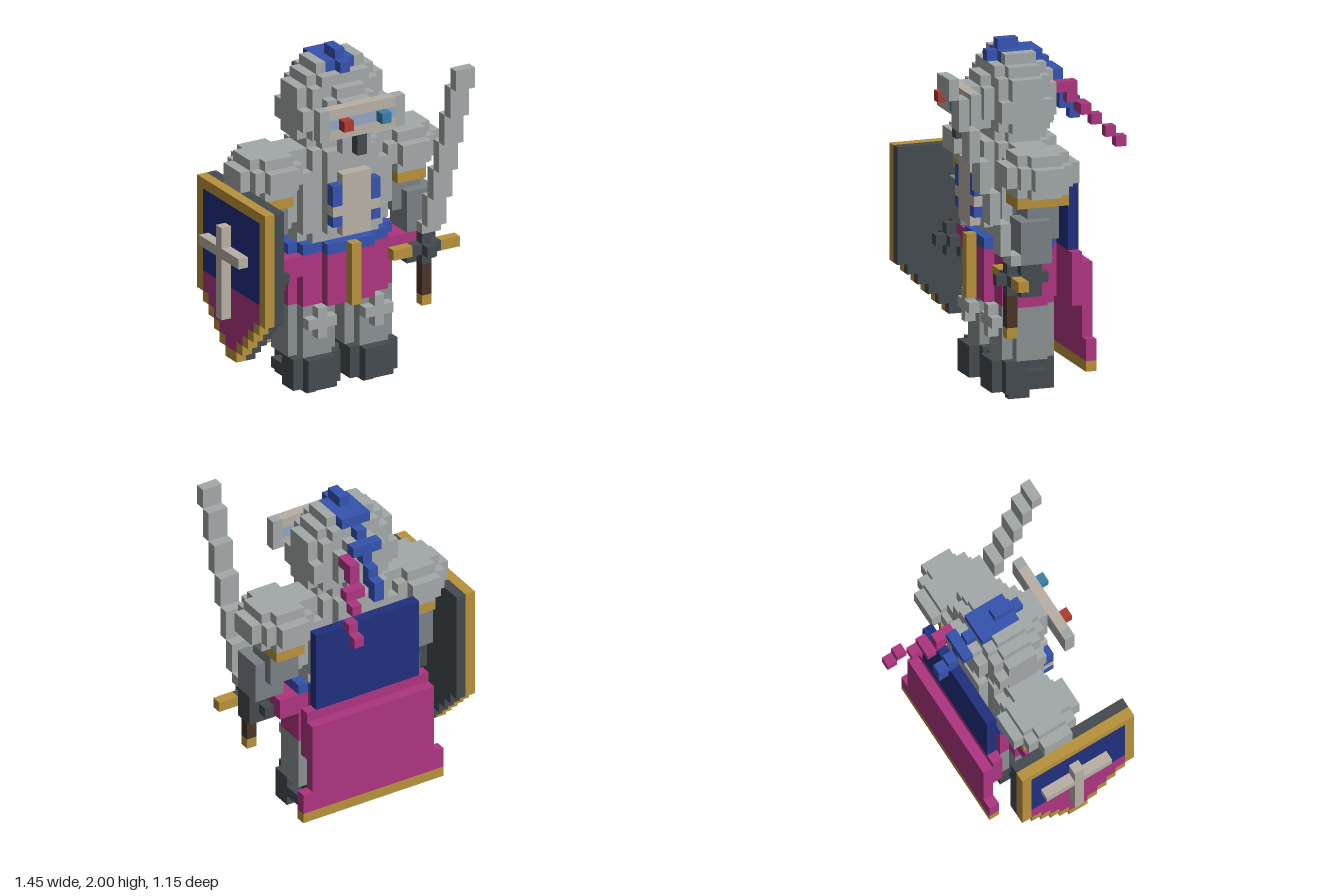
import * as THREE from 'three';
import { mergeGeometries } from 'three/addons/utils/BufferGeometryUtils.js';

const V = 2 / 33; // block size
const C = {
  steel: 0xa3a8a8, plate: 0x8a9092, arm: 0x7a8185, dark: 0x454b50, gold: 0xb8923a, magenta: 0xae3580,
  blue: 0x3553b0, navy: 0x20307e, bone: 0xb8b0a6, red: 0xb03a30, teal: 0x3a80a8, brown: 0x4a3328, glass: 0x8fa8c4,
};
const materials = {};
const mat = (c) => (materials[c] ??= new THREE.MeshStandardMaterial({ color: C[c], flatShading: true }));

// Box extents are in blocks: [x0, x1, y0, y1, z0, z1]
function boxGeo([x0, x1, y0, y1, z0, z1]) {
  const g = new THREE.BoxGeometry((x1 - x0) * V, (y1 - y0) * V, (z1 - z0) * V);
  return g.translate((x0 + x1) / 2 * V, (y0 + y1) / 2 * V, (z0 + z1) / 2 * V);
}

// Rounded block shape inside the given extents, as one box per row; q = Infinity gives a column
function rounded([x0, x1, y0, y1, z0, z1], q) {
  const rows = [], cx = (x0 + x1) / 2, rx = (x1 - x0) / 2;
  for (let y = y0; y < y1; y++) for (let z = z0; z < z1; z++) {
    const v = Math.abs((2 * y + 1 - y0 - y1) / (y1 - y0));
    const w = (2 * z + 1 - z0 - z1) / (z1 - z0);
    for (let x = cx - rx + 0.5; x <= cx; x++) {
      if (((x - cx) / rx) ** 2 + v ** q + w * w > 1.01) continue;
      rows.push([x - 0.5, 2 * cx - x + 0.5, y, y + 1, z, z + 1]);
      break;
    }
  }
  return rows;
}

// Mirror extents across the body centre plane x = 0.5
const mirror = (boxes) => boxes.map(([a, b, ...r]) => [1 - b, 1 - a, ...r]);

export function createModel() {
  const model = new THREE.Group();
  model.name = 'knight';
  const add = (name, color, ...boxes) => {
    const mesh = new THREE.Mesh(mergeGeometries(boxes.map(boxGeo)), mat(color));
    mesh.name = name;
    model.add(mesh);
  };
  const pair = (name, color, ...boxes) => {
    add('right' + name, color, ...boxes);
    add('left' + name, color, ...mirror(boxes));
  };

  // Legs and boots
  pair('Boot', 'dark', [-4, -1, 1, 4, 2.5, 3.5], [-5, 0, 1, 4, 0.5, 2.5], [-4, -1, 1, 4, -2.5, 0.5],
    [-5, 0, 2, 3, -1.5, 0.5], [-3, -2, 0, 1, -0.5, 1.5]);
  pair('Leg', 'plate', ...rounded([-5, 0, 4, 9, -2.5, 2.5], Infinity));
  pair('KneePlate', 'steel', [-4, -1, 7, 8, 2.5, 3.5], [-3, -2, 6, 9, 2.5, 3.5]);

  // Skirt with hip flares, belt, torso and collar
  add('skirt', 'magenta', ...rounded([-5, 6, 9, 14, -3.5, 3.5], Infinity), [-7, 8, 12, 14, -1.5, 2.5],
    [-6, 7, 9, 14, -4.5, -3.5]);
  add('belt', 'blue', ...rounded([-5, 6, 14, 15, -3.5, 3.5], Infinity));
  add('skirtStrip', 'gold', [0, 1, 9, 15, 3.5, 4.5]);
  add('torso', 'steel', ...rounded([-5, 6, 14, 24, -3.5, 3.5], 3).filter((r) => r[2] > 14));
  add('collar', 'steel', ...rounded([-4, 5, 22, 24, -3.5, 3.5], Infinity));
  add('chestPlate', 'bone', [-1, 2, 16, 22, 3.5, 4.5], [-2, -1, 18, 19, 3.5, 4.5], [2, 3, 18, 19, 3.5, 4.5]);
  pair('ChestTrim', 'blue', [-2, -1, 19, 21, 3.5, 4.5], [-2, -1, 17, 18, 3.5, 4.5]);

  // Arms
  pair('Pauldron', 'steel', ...rounded([-10, -3, 20, 24, -3.5, 3.5], 3));
  pair('PauldronTrim', 'gold', [-8, -5, 19, 20, -2.5, 2.5]);
  pair('Arm', 'arm', [-8, -5, 16, 19, -1.5, 1.5], [-9, -6, 14, 18, -0.5, 2.5]);
  pair('Hand', 'dark', [-9, -6, 11, 13, 0.5, 2.5], [-9, -7, 13, 14, 0.5, 2.5],
    [-9, -6, 12, 13, 2.5, 3.5], [-8, -7, 11, 14, 2.5, 3.5], [-8, -7, 12, 13, -0.5, 4.5]);

  // Helmet: crown cells taken by the plume are left out
  const shell = rounded([-4, 5, 23, 32, -3.5, 3.5], 3).filter(([, , y, , z]) => y < 30 || (y === 30 && z > -3));
  add('helmet', 'steel', ...shell, [-1, 2, 24, 29, 3.5, 4.5], [-2, -1, 31, 32, -1.5, 1.5], [2, 3, 31, 32, -1.5, 1.5]);
  pair('EarPlate', 'steel', [-4, -3, 25, 29, -1.5, 1.5], [-4, -3, 26, 28, -2.5, 2.5]);
  add('visor', 'bone', [-3, 4, 26, 27, 4.5, 5.5], [-3, 4, 28, 29, 4.5, 5.5]);
  pair('VisorEnd', 'steel', [-4, -3, 26, 29, 4.5, 5.5]);
  add('visorSlit', 'glass', [-3, 4, 27, 28, 4.5, 5.5]);
  add('rightEye', 'red', [-2, -1, 27, 28, 5.5, 6.5]);
  add('leftEye', 'teal', [2, 3, 27, 28, 5.5, 6.5]);
  add('mouthGrille', 'dark', [0, 1, 24, 26, 4.5, 5.5]);

  // Plumes
  add('bluePlume', 'blue', [0, 1, 32, 33, -0.5, 1.5], [-1, 2, 31, 32, -2.5, 1.5], [0, 1, 31, 32, 1.5, 2.5],
    [0, 1, 30, 31, -3.5, -2.5], [-1, 2, 29, 30, -4.5, -3.5], [0, 1, 28, 29, -4.5, -3.5],
    [0, 1, 26, 28, -5.5, -4.5], [0, 1, 25, 27, -6.5, -5.5]);
  const tail = [[2, 28, 1], [2, 27, 2], [2, 26, 1], [3, 25, 1], [4, 24, 1], [4, 23, 1]];
  add('magentaPlume', 'magenta', ...tail.map(([x, y, h], i) => [x, x + 1, y, y + h, -4.5 - i, -3.5 - i]),
    [3, 4, 26, 27, -6.5, -5.5]);

  // Cape
  add('upperCape', 'navy', [-5, 6, 14, 22, -4.5, -3.5]);
  add('lowerCape', 'magenta', [-6, 7, 6, 13, -5.5, -4.5], [-7, 8, 4, 6, -5.5, -4.5]);
  add('capeHem', 'gold', [-7, 8, 3, 4, -5.5, -4.5]);

  // Sword in the left hand, blade stepping forward as it rises
  const steps = [14, 15, 18, 21, 24, 27, 30, 32];
  add('swordBlade', 'steel', ...steps.slice(1).map((top, i) => [8, 10, steps[i], top, 2.5 + i, 3.5 + i]));
  add('swordGuard', 'gold', [5, 7, 12, 13, 2.5, 3.5], [10, 12, 12, 13, 2.5, 3.5]);
  add('swordGrip', 'brown', [8, 9, 8, 11, 2.5, 3.5]);
  add('swordPommel', 'gold', [8, 9, 7, 8, 2.5, 3.5]);

  // Shield on the right arm, in columns with a stepped point
  const back = [], rim = [], upper = [], lower = [];
  for (let i = 0; i < 12; i++) {
    const z = -4.5 + i, b = 10 - Math.min(i, 11 - i);
    back.push([-10, -9, b, 21, z, z + 1]);
    if (i === 0 || i === 11) { rim.push([-11, -10, b, 21, z, z + 1]); continue; }
    rim.push([-11, -10, b, b + 1, z, z + 1], [-11, -10, 20, 21, z, z + 1]);
    lower.push([-11, -10, b + 1, 12, z, z + 1]);
    upper.push([-11, -10, 12, 20, z, z + 1]);
  }
  add('shieldBack', 'dark', ...back);
  add('shieldRim', 'gold', ...rim);
  add('shieldUpperField', 'navy', ...upper);
  add('shieldLowerField', 'magenta', ...lower);
  add('shieldCross', 'bone', [-12, -11, 9, 18, 0.5, 1.5], [-12, -11, 15, 16, -2.5, 0.5], [-12, -11, 15, 16, 1.5, 4.5]);

  return model;
}
